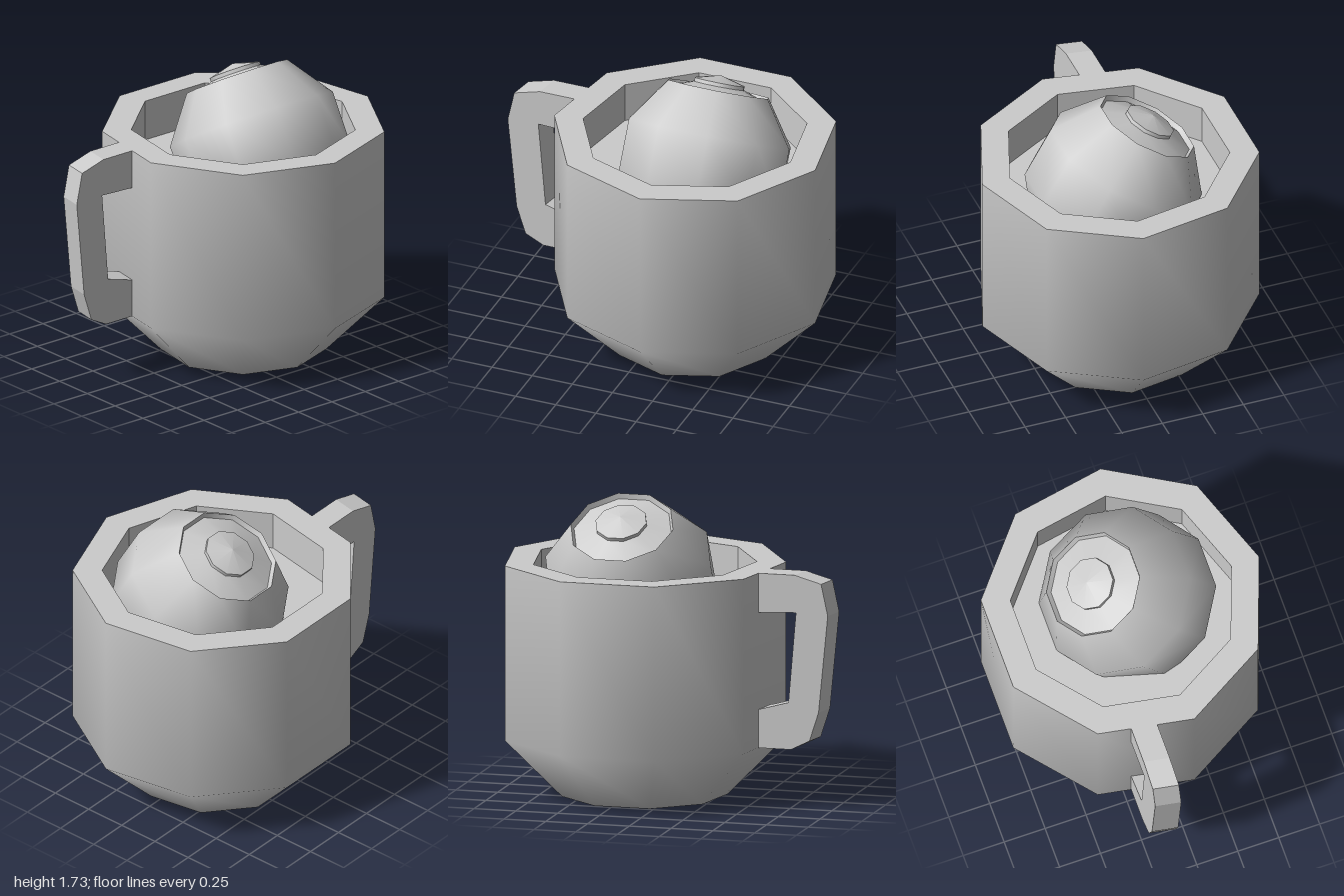
import * as THREE from 'three';

const material = new THREE.MeshStandardMaterial({ color: 0xcccccc });

function addMesh(parent, name, geometry) {
  const mesh = new THREE.Mesh(geometry, material);
  mesh.name = name;
  parent.add(mesh);
  return mesh;
}

// Turned surface from [radius, height] points; separate calls keep sharp edges between them.
function turned(points, sides, phiStart, flat = false) {
  const profile = points.map(([r, y]) => new THREE.Vector2(r, y));
  const geometry = new THREE.LatheGeometry(profile, sides, phiStart);
  if (!flat) return geometry;
  const faceted = geometry.toNonIndexed();
  faceted.computeVertexNormals();
  return faceted;
}

// Nine-sided mug with a chamfered base
function createMug() {
  const mug = new THREE.Group();
  mug.name = 'mug';
  const outer = 0.825, inner = 0.655, foot = 0.485;
  const rim = 1.37, shoulder = 0.345, level = 1.13;
  const part = (name, points, flat) => addMesh(mug, name, turned(points, 9, Math.PI / 2, flat));
  part('mugBase', [[0, 0], [foot, 0]], true);
  part('mugOuterWall', [[foot, 0], [outer, shoulder], [outer, rim]]);
  part('mugRim', [[outer, rim], [inner, rim]], true);
  part('mugInnerWall', [[inner, rim], [inner, level]], true);
  part('liquidSurface', [[inner, level], [0, level]], true);
  mug.position.set(-0.025, 0, -0.19);
  return mug;
}

// Flat-sided handle, drawn as (z, y) and sheared to follow the slanted wall
function createHandle(parent) {
  const right = -0.095, width = 0.15;
  const shape = new THREE.Shape([
    [0.575, 1.37], [0.575, 1.14], [0.81, 1.15], [0.765, 0.62], [0.575, 0.567],
    [0.575, 0.345], [0.78, 0.345], [0.89, 0.4], [0.945, 0.57], [1.0, 1.14],
    [0.96, 1.325], [0.8, 1.37],
  ].map(([z, y]) => new THREE.Vector2(z, y)));
  const geometry = new THREE.ExtrudeGeometry(shape, { depth: width, bevelEnabled: false });
  geometry.rotateY(-Math.PI / 2).translate(right, 0, 0);
  const p = geometry.attributes.position;
  for (let i = 0; i < p.count; i++) {
    p.setZ(i, p.getZ(i) + 0.176 * (p.getX(i) - right));
  }
  geometry.computeVertexNormals();
  addMesh(parent, 'handle', geometry);
}

// Ten-sided eyeball with a sunken iris and a raised pupil, tilted to one side
function createEyeball() {
  const eye = new THREE.Group();
  eye.name = 'eyeball';
  const R = 0.52, step = Math.PI / 5;
  const rings = [];
  for (let i = 5; i >= 1; i--) {
    rings.push([i === 5 ? 0 : R * Math.sin(i * step), R * Math.cos(i * step)]);
  }
  const [edge, top] = rings[4];
  const irisEdge = [edge - 0.015, top - 0.03];
  const pupilFoot = [0.152, top + 0.018];
  const pupilEdge = [0.152, top + 0.04];
  const part = (name, points) => addMesh(eye, name, turned(points, 10, Math.PI * 0.6));
  part('eyeWhite', rings);
  part('irisBorder', [rings[4], irisEdge]);
  part('iris', [irisEdge, pupilFoot]);
  part('pupilBorder', [pupilFoot, pupilEdge]);
  part('pupil', [pupilEdge, [0, top + 0.079]]);
  eye.position.set(0.0255, 1.22, -0.275);
  eye.rotation.z = Math.PI / 6;
  return eye;
}

export function createModel() {
  const model = new THREE.Group();
  model.name = 'eyeballMug';
  model.add(createMug(), createEyeball());
  createHandle(model);
  return model;
}
